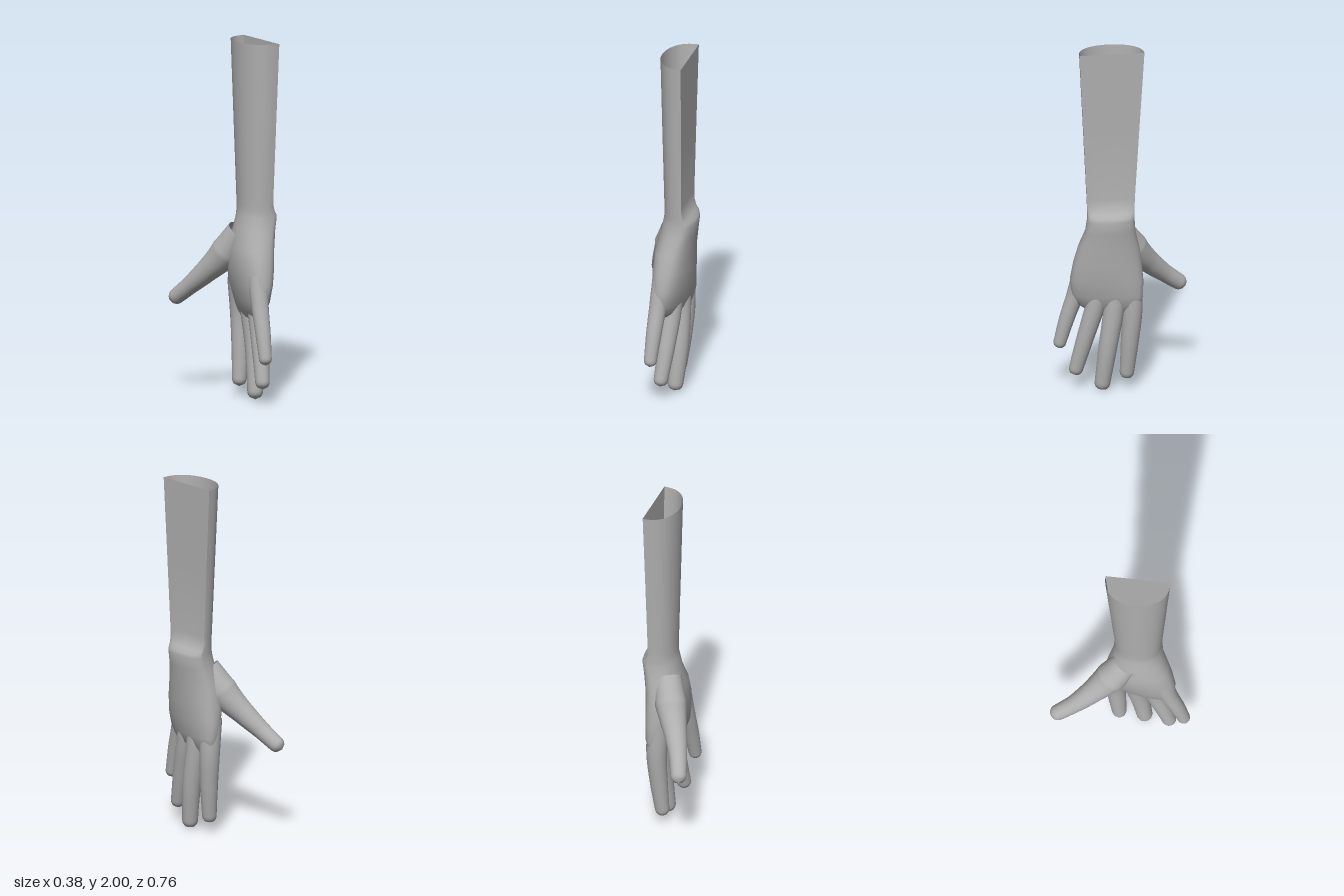
import * as THREE from 'three';
import { mergeVertices, toCreasedNormals } from 'three/addons/utils/BufferGeometryUtils.js';

const SIDES = 48;

// Each row: y, z min, z max, x of the widest line, depth to palm side, depth to back side, tilt
const SECTIONS = [
  [2.00, -0.107, 0.255, 0.143, 0.158, 0, 0],
  [1.56, -0.080, 0.233, 0.137, 0.142, 0, 0],
  [1.14, -0.055, 0.212, 0.132, 0.127, 0, 0],
  [1.09, -0.053, 0.210, 0.134, 0.128, 0.006, 0],
  [1.06, -0.053, 0.209, 0.136, 0.131, 0.025, 0],
  [1.04, -0.053, 0.209, 0.136, 0.133, 0.048, 0],
  [1.02, -0.053, 0.210, 0.134, 0.135, 0.056, 0],
  [0.95, -0.060, 0.217, 0.110, 0.125, 0.073, 0],
  [0.85, -0.085, 0.250, 0.075, 0.115, 0.095, -0.03],
  [0.75, -0.100, 0.275, 0.062, 0.105, 0.103, -0.07],
  [0.65, -0.108, 0.292, 0.060, 0.092, 0.092, -0.12],
  [0.56, -0.106, 0.290, 0.060, 0.072, 0.078, -0.18],
  [0.50, -0.095, 0.255, 0.060, 0.050, 0.060, -0.20],
  [0.46, -0.070, 0.190, 0.062, 0.025, 0.035, -0.20],
  [0.45, 0.050, 0.060, 0.062, 0.002, 0.002, 0],
];

// Hollow sleeve of cross-sections: half-round forearm running into the palm
function shellGeometry() {
  const pos = [], index = [];
  SECTIONS.forEach(([y, z0, z1, xm, palm, back, tilt], i) => {
    const mid = (z0 + z1) / 2, half = (z1 - z0) / 2;
    for (let j = 0; j < SIDES; j++) {
      const t = (j / SIDES) * Math.PI * 2;
      const s = Math.sin(t), dz = half * Math.cos(t);
      const bulge = Math.pow(Math.abs(s), 0.8) * (s > 0 ? back : -palm);
      pos.push(xm + bulge + tilt * dz, y, mid + dz);
      if (i === SECTIONS.length - 1) continue;
      const k = (j + 1) % SIDES;
      const a = i * SIDES + j, b = i * SIDES + k;
      index.push(a, a + SIDES, b, b, a + SIDES, b + SIDES);
    }
  });
  const geo = new THREE.BufferGeometry();
  geo.setAttribute('position', new THREE.Float32BufferAttribute(pos, 3));
  geo.setIndex(index);
  return toCreasedNormals(geo, 0.95);
}

// Tapered tube with a rounded tip; radii run evenly from base to tip
function digitGeometry(points, radii) {
  const steps = 48, sides = 20;
  const curve = new THREE.CatmullRomCurve3(points.map(p => new THREE.Vector3(...p)));
  const tipStart = 1 - radii[radii.length - 1] / curve.getLength();
  const geo = new THREE.TubeGeometry(curve, steps, 1, sides);
  const pos = geo.attributes.position, v = new THREE.Vector3();
  for (let i = 0; i <= steps; i++) {
    const u = i / steps, centre = curve.getPointAt(u);
    const f = u * (radii.length - 1), n = Math.min(Math.floor(f), radii.length - 2);
    let r = THREE.MathUtils.lerp(radii[n], radii[n + 1], f - n);
    if (u > tipStart) r *= Math.sqrt(Math.max(0.0004, 1 - ((u - tipStart) / (1 - tipStart)) ** 2));
    for (let j = 0; j <= sides; j++) {
      const k = i * (sides + 1) + j;
      v.fromBufferAttribute(pos, k).sub(centre).multiplyScalar(r).add(centre);
      pos.setXYZ(k, v.x, v.y, v.z);
    }
  }
  geo.deleteAttribute('uv');
  geo.deleteAttribute('normal');
  const smooth = mergeVertices(geo, 1e-5);
  smooth.computeVertexNormals();
  return smooth;
}

const DIGITS = {
  littleFinger: [
    [[0.03, 0.70, 0.215], [0.012, 0.54, 0.262], [0.002, 0.40, 0.307], [-0.008, 0.23, 0.352]],
    [0.06, 0.048, 0.042, 0.034]],
  ringFinger: [
    [[0.06, 0.66, 0.120], [0.062, 0.48, 0.160], [0.048, 0.30, 0.210], [0.026, 0.08, 0.268]],
    [0.065, 0.054, 0.047, 0.038]],
  middleFinger: [
    [[0.07, 0.66, 0.035], [0.086, 0.46, 0.058], [0.088, 0.25, 0.090], [0.070, 0.00, 0.123]],
    [0.066, 0.057, 0.051, 0.042]],
  indexFinger: [
    [[0.07, 0.66, -0.040], [0.082, 0.46, -0.047], [0.074, 0.27, -0.034], [0.055, 0.055, -0.018]],
    [0.066, 0.057, 0.049, 0.038]],
  thumb: [
    [[0.04, 0.93, 0.02], [-0.012, 0.79, -0.07], [-0.072, 0.68, -0.17],
      [-0.115, 0.60, -0.255], [-0.160, 0.505, -0.372]],
    [0.075, 0.088, 0.066, 0.05, 0.043]],
};

export function createModel() {
  const group = new THREE.Group();
  group.name = 'forearmAndHand';
  const grey = new THREE.MeshStandardMaterial({ color: 0xb0b0b0, side: THREE.DoubleSide });
  grey.name = 'plain grey';

  const add = (name, geo) => {
    const mesh = new THREE.Mesh(geo, grey);
    mesh.name = name;
    group.add(mesh);
  };

  // Open forearm sleeve and palm
  add('forearmAndPalm', shellGeometry());

  // Fingers and thumb
  for (const [name, [points, radii]] of Object.entries(DIGITS)) {
    add(name, digitGeometry(points, radii));
  }
  return group;
}
